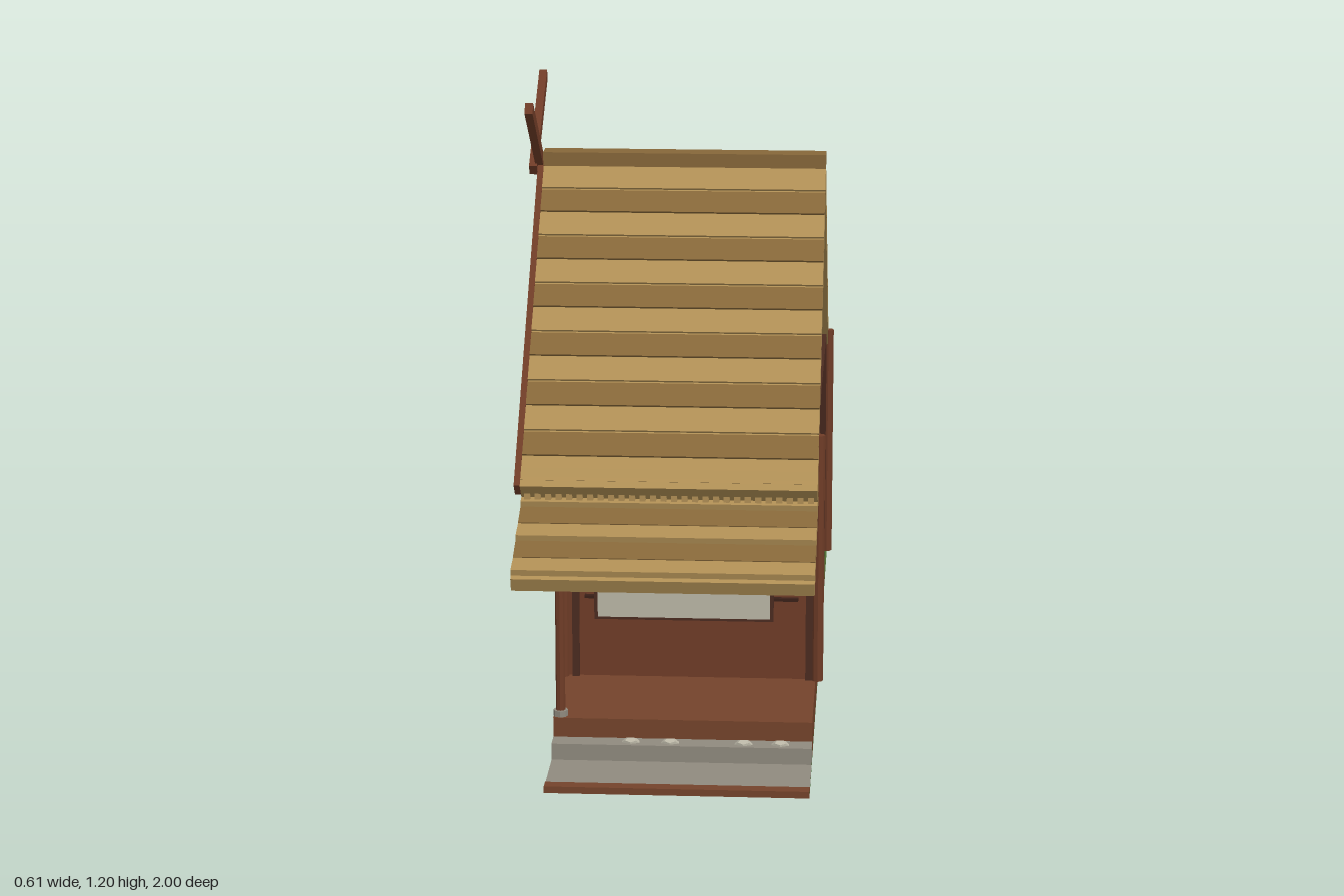
import * as THREE from 'three';

const mat = (color) => new THREE.MeshStandardMaterial({ color, flatShading: true });
const M = {
  straw: mat(0xb08f55), strawDark: mat(0x866739), wood: mat(0x6f3c27), woodDark: mat(0x4b2b20),
  trim: mat(0x3a2018), floor: mat(0x74432b), stone: mat(0x8f8a7e), pale: mat(0xbab6a6),
  grass: mat(0x4a6b30), glass: mat(0x2b2f33), panel: mat(0x824a2f), plant: mat(0x3d4a20),
};

export function createModel() {
  const root = new THREE.Group();

  const add = (name, geo, m, parent = root) => {
    const mesh = new THREE.Mesh(geo, m);
    mesh.name = name;
    parent.add(mesh);
    return mesh;
  };
  const group = (name) => {
    const g = new THREE.Group();
    g.name = name;
    root.add(g);
    return g;
  };
  // Box given by its limits on each axis
  const box = (name, x0, x1, y0, y1, z0, z1, m, parent) => {
    const mesh = add(name, new THREE.BoxGeometry(x1 - x0, y1 - y0, z1 - z0), m, parent);
    mesh.position.set((x0 + x1) / 2, (y0 + y1) / 2, (z0 + z1) / 2);
    return mesh;
  };
  // Sloping bar in the z-y plane, from point a to point b, spanning x0 to x1
  const bar = (name, x0, x1, a, b, h, m, parent) => {
    const dz = b[0] - a[0], dy = b[1] - a[1];
    const mesh = add(name, new THREE.BoxGeometry(x1 - x0, h, Math.hypot(dz, dy)), m, parent);
    mesh.position.set((x0 + x1) / 2, (a[1] + b[1]) / 2, (a[0] + b[0]) / 2);
    mesh.rotation.x = Math.atan2(-dy, dz);
    return mesh;
  };
  const post = (name, x, z, y0, y1, r, m, parent) => {
    const mesh = add(name, new THREE.CylinderGeometry(r, r, y1 - y0, 8), m, parent);
    mesh.position.set(x, (y0 + y1) / 2, z);
    return mesh;
  };

  const X0 = -0.205, X1 = 0.29, ZC = 0.115; // house sides and ridge line
  const R0 = -0.28, R1 = 0.293;             // roof ends

  // Ground, path, step and raised floor
  box('ground', X0, X1, 0.021, 0.026, -1, 0.99, M.grass);
  box('path', X0, X1, 0.024, 0.03, 0.81, 0.975, M.stone);
  box('pathCurb', X0, X1, 0.021, 0.034, 0.975, 1, M.floor);
  box('entranceStep', X0, X1, 0.026, 0.062, 0.805, 0.845, M.stone);
  [-0.055, 0.02, 0.16, 0.23].forEach((x) => {
    const s = add('stepPebble', new THREE.DodecahedronGeometry(0.018), M.pale);
    s.scale.set(1, 0.5, 0.7);
    s.position.set(x, 0.062, 0.826);
  });
  box('floorBase', X0, X1, 0.026, 0.1, -0.322, 0.805, M.floor);

  // Walls: low on one side, full gable on the other
  const walls = group('walls');
  box('frontWall', X0, X1, 0.1, 0.56, 0.535, 0.55, M.wood, walls);
  box('backWall', X0, X1, 0.1, 0.56, -0.32, -0.305, M.wood, walls);
  box('lowSideWall', X1 - 0.012, X1, 0.1, 0.6, -0.32, 0.55, M.woodDark, walls);
  const gable = new THREE.Shape([[-0.55, 0.1], [0.32, 0.1], [0.32, 0.575], [-ZC, 1.01], [-0.55, 0.575]]
    .map((p) => new THREE.Vector2(...p)));
  const gableWall = add('gableWall', new THREE.ExtrudeGeometry(gable, { depth: 0.012, bevelEnabled: false }), M.woodDark, walls);
  gableWall.rotation.y = Math.PI / 2;
  gableWall.position.x = X0;

  // Vertical battens on gable and back wall
  const battens = group('battens');
  for (let i = 0; i <= 16; i++) {
    const z = -0.3 + i * 0.052;
    box('gableBatten', X0 - 0.006, X0, 0.1, 0.99 - Math.abs(z - ZC), z - 0.004, z + 0.004, M.trim, battens);
  }
  for (let i = 0; i <= 10; i++) {
    const x = X0 + 0.015 + i * 0.046;
    box('backBatten', x - 0.004, x + 0.004, 0.1, 0.56, -0.326, -0.32, M.trim, battens);
  }

  // Corner and porch posts
  [[-0.207, 0.555], [-0.207, -0.33], [0.294, 0.555], [0.294, -0.33]].forEach(([x, z]) =>
    post('cornerPost', x, z, 0.1, 0.6, 0.011, M.wood));
  post('porchPost', -0.192, 0.79, 0.1, 0.39, 0.009, M.wood);
  post('porchPostBase', -0.192, 0.79, 0.1, 0.112, 0.014, M.stone);
  box('porchBeam', R0 + 0.03, X1, 0.365, 0.385, 0.78, 0.8, M.wood);

  // Front sliding doors with rails
  const doors = group('frontDoors');
  box('doorFrameLeft', 0.27, 0.284, 0.1, 0.5, 0.55, 0.558, M.woodDark, doors);
  box('doorFrameRight', -0.19, -0.176, 0.1, 0.5, 0.55, 0.558, M.woodDark, doors);
  box('doorRail', -0.165, -0.11, 0.262, 0.268, 0.55, 0.56, M.trim, doors);
  box('doorRail', 0.2, 0.255, 0.262, 0.268, 0.55, 0.56, M.trim, doors);

  // Blank board hanging under the porch eave
  const board = group('hangingBoard');
  box('boardBack', -0.125, 0.215, 0.3, 0.37, 0.798, 0.806, M.woodDark, board);
  box('boardFace', -0.118, 0.208, 0.306, 0.364, 0.806, 0.81, M.pale, board);

  // Back door with four panels
  const back = group('backDoor');
  box('doorLeaf', -0.035, 0.115, 0.1, 0.385, -0.33, -0.32, M.wood, back);
  for (const x of [-0.025, 0.045]) for (const y of [0.115, 0.25])
    box('doorPanel', x, x + 0.06, y, y + 0.122, -0.334, -0.33, M.panel, back);
  box('transom', -0.035, 0.115, 0.46, 0.5, -0.33, -0.32, M.stone, back);

  // Gable windows with slatted shutters
  for (const z of [-0.05, 0.32]) {
    const win = group('gableWindow');
    box('windowPane', X0 - 0.01, X0, 0.2, 0.375, z - 0.05, z + 0.05, M.glass, win);
    box('windowSill', X0 - 0.02, X0, 0.19, 0.2, z - 0.055, z + 0.055, M.wood, win);
    box('windowHead', X0 - 0.014, X0, 0.375, 0.385, z - 0.055, z + 0.055, M.wood, win);
    box('windowMullion', X0 - 0.013, X0, 0.2, 0.375, z - 0.004, z + 0.004, M.trim, win);
    for (const s of [-1, 1]) {
      const c = z + s * 0.07;
      box('shutter', X0 - 0.01, X0, 0.2, 0.375, c - 0.02, c + 0.02, M.woodDark, win);
      for (let i = 0; i < 5; i++)
        box('shutterSlat', X0 - 0.015, X0, 0.207 + i * 0.035, 0.227 + i * 0.035, c - 0.019, c + 0.019, M.wood, win);
    }
  }

  // Main thatched roof: slab and alternating courses on both slopes
  const roof = group('mainRoof');
  const N = 13;
  for (const s of [1, -1]) {
    const p = (d, lift = 0) => [ZC + s * d, 1.03 + lift - d];
    bar('roofSlab', R0, R1, p(0), p(0.52), 0.036, M.straw, roof);
    for (let i = 0; i < N; i++)
      bar('thatchCourse', R0, R1, p(0.012 + i * 0.04, 0.021), p(0.052 + i * 0.04, 0.026), 0.009,
        i % 2 ? M.strawDark : M.straw, roof);
    bar('eaveRoll', R0, R1, p(0.5, 0.002), p(0.53, 0.002), 0.042, M.straw, roof);
    bar('bargeBoard', R0 - 0.012, R0, p(-0.005, 0.005), p(0.53, 0.005), 0.036, M.wood, roof);
    // Crossed ridge pole
    bar('crossedPole', s > 0 ? -0.297 : -0.309, s > 0 ? -0.281 : -0.293,
      [ZC - s * 0.02, 1.035], [ZC + s * 0.212, 1.195], 0.024, M.wood, roof);
  }
  box('ridgeCap', R0, R1, 1.045, 1.073, ZC - 0.024, ZC + 0.024, M.strawDark, roof);

  // Ragged straw fringe under both eaves
  const fringe = group('eaveFringe');
  for (let i = 0; i < 28; i++) {
    const x = R0 + 0.012 + i * 0.0203;
    const len = 0.035 + 0.025 * Math.abs(Math.sin(i * 2.4));
    box('backFringe', x - 0.006, x + 0.006, 0.515 - len, 0.515, -0.413, -0.405, M.straw, fringe);
    box('frontFringe', x - 0.006, x + 0.006, 0.478, 0.515, 0.632, 0.64, M.straw, fringe);
  }

  // Porch roof with stepped courses
  const porch = group('porchRoof');
  const q = (t, lift = 0) => [0.55 + t * 0.29, 0.493 + lift - t * 0.118];
  bar('porchSlab', R0, R1, q(0), q(1), 0.028, M.straw, porch);
  for (let i = 0; i < 6; i++)
    bar('porchCourse', R0, R1, q(i / 6, 0.014), q((i + 1) / 6, i % 2 ? 0.024 : 0.016), 0.012,
      i % 2 ? M.straw : M.strawDark, porch);

  // Clay jar behind the house
  const jar = add('jar', new THREE.LatheGeometry([[0, 0], [0.026, 0], [0.045, 0.03], [0.045, 0.06], [0.028, 0.09], [0.02, 0.09], [0.016, 0.07], [0, 0.07]]
    .map((p) => new THREE.Vector2(...p)), 7), M.wood);
  jar.position.set(-0.07, 0.026, -0.515);

  // Small plant: drooping leaves, a bulb and floating buds
  const plant = group('plant');
  plant.position.set(0.12, 0.03, -0.745);
  add('plantBulb', new THREE.IcosahedronGeometry(0.017), M.wood, plant).position.y = 0.01;
  for (let i = 0; i < 8; i++) {
    const a = (i / 8) * Math.PI * 2;
    const leaf = add('leaf', new THREE.ConeGeometry(0.004, 0.036, 4), M.plant, plant);
    leaf.position.set(Math.cos(a) * 0.016, -0.013, Math.sin(a) * 0.016);
    leaf.quaternion.setFromUnitVectors(new THREE.Vector3(0, 1, 0),
      new THREE.Vector3(Math.cos(a), -0.8, Math.sin(a)).normalize());
    if (i % 2) add('bud', new THREE.OctahedronGeometry(0.005), M.plant, plant)
      .position.set(Math.cos(a) * 0.012, 0.068 + (i % 4) * 0.004, Math.sin(a) * 0.012);
  }
  return root;
}
